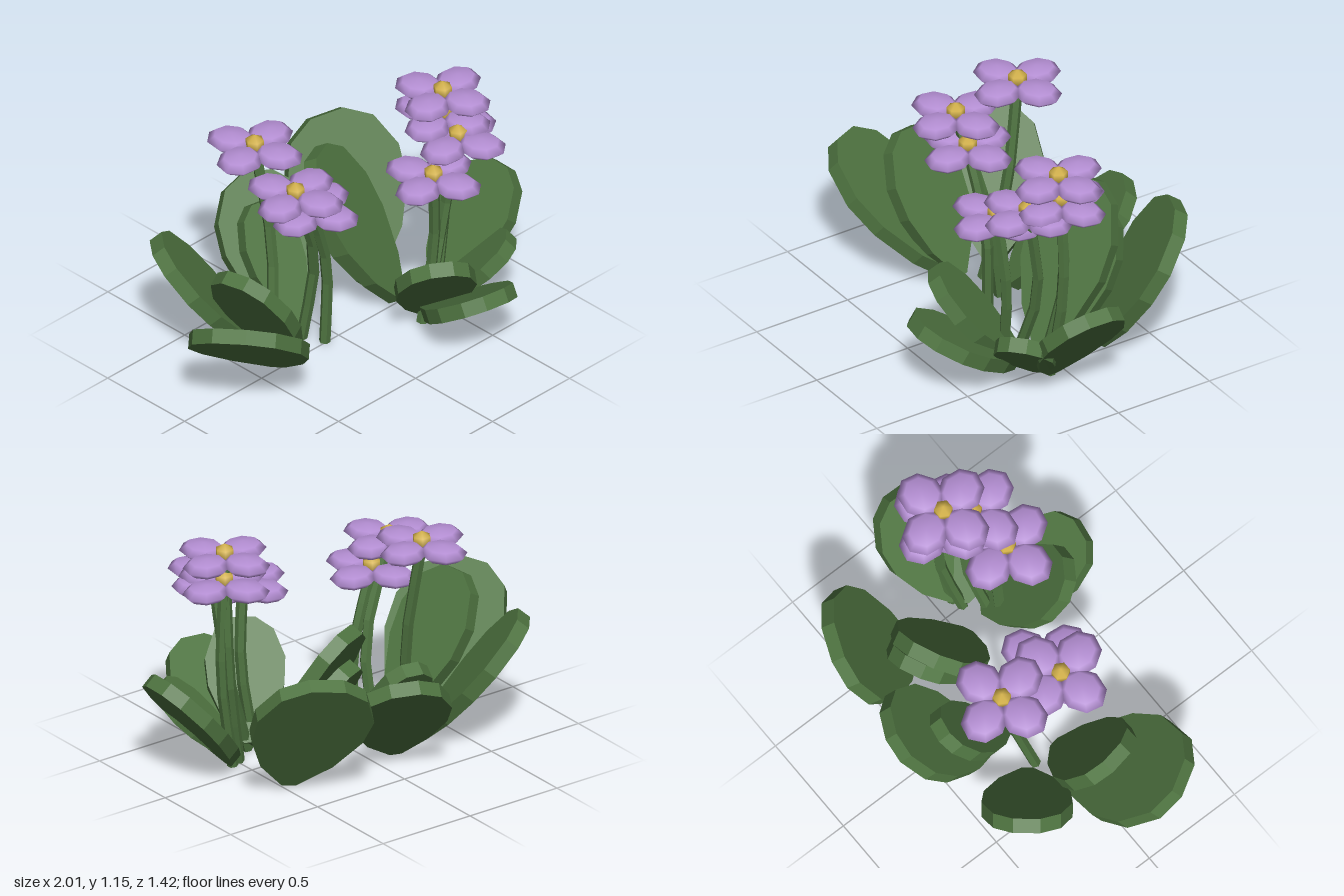
import * as THREE from 'three';

const V = (p) => new THREE.Vector3(...p);

const leafGreen = new THREE.MeshStandardMaterial({ color: 0x4e7340 });
leafGreen.name = 'leafGreen';
leafGreen.flatShading = true;
const petalLilac = new THREE.MeshStandardMaterial({ color: 0xb58fd4 });
petalLilac.name = 'petalLilac';
const pollenYellow = new THREE.MeshStandardMaterial({ color: 0xd6b44c });
pollenYellow.name = 'pollenYellow';

// Half outline of a leaf: [half width, distance from base], both 0..1
const LEAF = [[0.12, 0], [0.62, 0.2], [0.95, 0.46], [1, 0.68], [0.74, 0.9], [0.3, 1]];

// Leaf: base point, tip point, width, roll about its length in degrees
const leaves = [
  [[-0.37, 0.04, -0.02], [-0.95, 0.57, 0.24], 0.54, 9],
  [[-0.33, 0.06, 0.0], [-0.71, 0.67, 0.04], 0.4, 5],
  [[-0.34, 0.04, -0.19], [-0.7, 0.62, -0.48], 0.42, 0],
  [[-0.13, 0.04, -0.25], [0.11, 0.55, -0.65], 0.46, 6],
  [[-0.12, 0.06, -0.15], [-0.06, 0.54, -0.48], 0.29, 0],
  [[0.47, 0.04, -0.23], [0.54, 0.68, -0.63], 0.56, -14],
  [[0.37, 0.04, 0.01], [0.21, 0.75, -0.36], 0.45, 0],
  [[0.38, 0.04, -0.08], [0.24, 0.6, -0.4], 0.36, 0],
  [[0.55, 0.05, 0.08], [0.97, 0.54, 0.09], 0.41, 0],
  [[0.5, 0.05, 0.12], [0.74, 0.37, 0.38], 0.28, 0],
  [[0.42, 0.05, 0.18], [0.34, 0.37, 0.68], 0.4, 0],
  [[0.4, 0.05, 0.16], [0.19, 0.51, 0.48], 0.37, 0],
];

// Flower: stem base, stem bend, bloom centre
const flowers = [
  [[-0.31, 0.02, -0.12], [-0.235, 0.52, -0.2], [-0.265, 1.04, -0.28]],
  [[-0.14, 0.02, -0.1], [-0.13, 0.48, -0.03], [-0.31, 0.945, 0.03]],
  [[-0.09, 0.02, 0.0], [-0.09, 0.45, 0.01], [-0.21, 0.82, 0.03]],
  [[0.5, 0.02, 0.1], [0.6, 0.5, 0.04], [0.605, 1.09, 0.07]],
  [[0.55, 0.02, 0.08], [0.63, 0.5, 0.06], [0.615, 0.965, 0.06]],
  [[0.39, 0.02, 0.18], [0.54, 0.48, 0.14], [0.565, 0.935, 0.21]],
  [[0.34, 0.02, 0.2], [0.4, 0.45, 0.22], [0.365, 0.825, 0.25]],
];

function makeLeaf([a, b, width, roll]) {
  const base = V(a), tip = V(b), thick = 0.07;
  const length = base.distanceTo(tip);
  const right = LEAF.map(([w, t]) => new THREE.Vector2(w * width / 2, t * length));
  const left = right.map((p) => new THREE.Vector2(-p.x, p.y)).reverse();
  const geo = new THREE.ExtrudeGeometry(new THREE.Shape([...right, ...left]),
    { depth: thick, bevelEnabled: false });
  geo.translate(0, 0, -thick / 2);
  const mesh = new THREE.Mesh(geo, leafGreen);
  // Length runs from base to tip, the upper face looks skyward
  const y = tip.clone().sub(base).normalize();
  const x = y.clone().cross(new THREE.Vector3(0, 1, 0)).normalize();
  const z = x.clone().cross(y);
  mesh.quaternion.setFromRotationMatrix(new THREE.Matrix4().makeBasis(x, y, z));
  mesh.rotateY(THREE.MathUtils.degToRad(roll));
  mesh.position.copy(base);
  mesh.name = 'leaf';
  return mesh;
}

function makeFlower([base, bend, top]) {
  const flower = new THREE.Group();
  flower.name = 'flower';

  // Bent stem with a closed foot
  const curve = new THREE.CatmullRomCurve3([V(base), V(bend), V(top)]);
  const stem = new THREE.Mesh(new THREE.TubeGeometry(curve, 5, 0.027, 6), leafGreen);
  stem.name = 'stem';
  const foot = new THREE.Mesh(new THREE.CircleGeometry(0.027, 6), leafGreen);
  foot.name = 'stemFoot';
  foot.position.set(...base);
  foot.quaternion.setFromUnitVectors(new THREE.Vector3(0, 0, 1), curve.getTangent(0).negate());
  flower.add(stem, foot);

  // Four lens-shaped petals in a cross
  const bloom = new THREE.Group();
  bloom.name = 'bloom';
  bloom.position.set(...top);
  for (let i = 0; i < 4; i++) {
    const geo = new THREE.SphereGeometry(1, 8, 4);
    geo.scale(0.12, 0.04, 0.105);
    geo.translate(0.127, 0, 0);
    geo.rotateY(THREE.MathUtils.degToRad(13 + i * 90));
    const petal = new THREE.Mesh(geo, petalLilac);
    petal.name = 'petal';
    bloom.add(petal);
  }

  // Pointed yellow heart
  const heart = new THREE.Mesh(new THREE.SphereGeometry(0.05, 6, 3), pollenYellow);
  heart.position.y = 0.022;
  heart.name = 'flowerHeart';
  bloom.add(heart);
  flower.add(bloom);
  return flower;
}

export function createModel() {
  const plant = new THREE.Group();
  plant.name = 'floweringPlant';
  leaves.forEach((l) => plant.add(makeLeaf(l)));
  flowers.forEach((f) => plant.add(makeFlower(f)));
  return plant;
}
